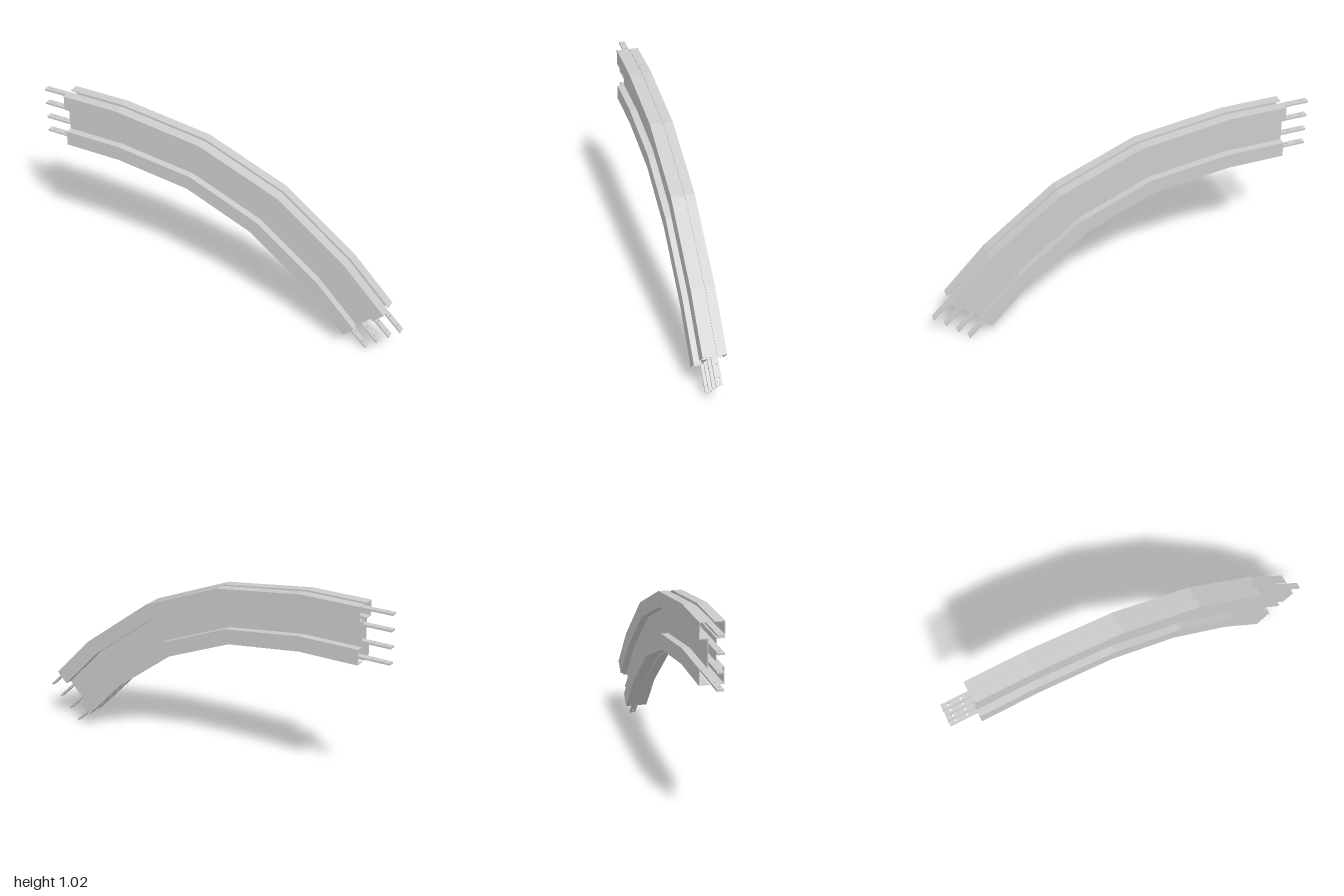
import * as THREE from 'three';

const WIDTH = 0.287;   // distance from outer to inner edge of the bend
const OUTER = [[-0.855, 1.021], [-0.55, 1.021], [-0.09, 0.96], [0.33, 0.79], [0.70, 0.51], [0.917, 0.284]];
const INNER = [[-0.855, 0.734], [-0.55, 0.734], [-0.16, 0.685], [0.19, 0.54], [0.50, 0.305], [0.716, 0.08]];

// Point at bend station i, depth z and distance v below the outer edge
function station(i, z, v) {
  const t = v / WIDTH;
  return new THREE.Vector3(
    THREE.MathUtils.lerp(OUTER[i][0], INNER[i][0], t),
    THREE.MathUtils.lerp(OUTER[i][1], INNER[i][1], t), z);
}

// Sweep a closed (z, v) profile through all bend stations, with end caps
function sweep(profile) {
  const p = profile.map(([z, v]) => new THREE.Vector2(z, v));
  if (THREE.ShapeUtils.isClockWise(p)) p.reverse();
  const n = p.length, last = OUTER.length - 1, pos = [];
  const add = (i, j) => pos.push(...station(i, p[j % n].x, p[j % n].y).toArray());
  for (let i = 0; i < last; i++) {
    for (let j = 0; j < n; j++) {
      add(i, j); add(i, j + 1); add(i + 1, j + 1);
      add(i, j); add(i + 1, j + 1); add(i + 1, j);
    }
  }
  for (const [a, b, c] of THREE.ShapeUtils.triangulateShape(p, [])) {
    add(last, a); add(last, b); add(last, c);
    add(0, a); add(0, c); add(0, b);
  }
  const g = new THREE.BufferGeometry();
  g.setAttribute('position', new THREE.Float32BufferAttribute(pos, 3));
  g.computeVertexNormals();
  return g;
}

// Flat connector tab along +x with two bolt holes near its tip
function tabGeometry(length, halfWidth, thickness) {
  const s = new THREE.Shape();
  s.moveTo(0, -halfWidth);
  s.lineTo(length, -halfWidth);
  s.lineTo(length, halfWidth);
  s.lineTo(0, halfWidth);
  s.closePath();
  for (const d of [0.033, 0.095]) {
    const hole = new THREE.Path();
    hole.absarc(length - d, 0, 0.006, 0, Math.PI * 2, true);
    s.holes.push(hole);
  }
  const g = new THREE.ExtrudeGeometry(s, { depth: thickness, bevelEnabled: false, curveSegments: 8 });
  g.translate(0, 0, -thickness / 2);
  return g;
}

export function createModel() {
  const model = new THREE.Group();
  const material = new THREE.MeshStandardMaterial({ color: 0xcccccc, flatShading: true, side: THREE.DoubleSide });
  const part = (geometry, name) => {
    const m = new THREE.Mesh(geometry, material);
    m.name = name;
    model.add(m);
    return m;
  };

  // Folded sheet housing: lip, flange, step, recessed web, mirrored below
  const face = 0.058, web = 0.021, lip = 0.01, s = 0.004, step = 0.078;
  const half = [[lip, 0], [face, 0], [face, step], [web, step]];
  const inside = [[web - s, step - s], [face - s, step - s], [face - s, s], [lip, s]];
  const flip = (list) => list.map(([z, v]) => [z, WIDTH - v]).reverse();
  const sheet = [...half, ...flip(half), ...flip(inside), ...inside];
  part(sweep(sheet), 'frontHousing');
  part(sweep(sheet.map(([z, v]) => [-z, v])), 'backHousing');

  // Four conductor bars with drilled tabs at both ends
  const barHalf = 0.016, thick = 0.01;
  const last = OUTER.length - 1;
  const endDir = new THREE.Vector3(OUTER[last][1] - INNER[last][1], INNER[last][0] - OUTER[last][0], 0).normalize();
  const ends = [
    { i: 0, dir: new THREE.Vector3(-1, 0, 0), length: 0.142, name: 'leftEndTab' },
    { i: last, dir: endDir, length: 0.132, name: 'rightEndTab' },
  ];
  ends[0].name = 'upperEndTab';
  ends[1].name = 'lowerEndTab';
  const across = new THREE.Vector3(0, 0, 1);
  [0.022, 0.102, 0.185, 0.265].forEach((v, k) => {
    const a = v - thick / 2, b = v + thick / 2;
    part(sweep([[-barHalf, a], [barHalf, a], [barHalf, b], [-barHalf, b]]), `conductorBar${k + 1}`);
    for (const { i, dir, length, name } of ends) {
      const tab = part(tabGeometry(length, barHalf, thick), `${name}${k + 1}`);
      const basis = new THREE.Matrix4().makeBasis(dir, across, dir.clone().cross(across));
      tab.quaternion.setFromRotationMatrix(basis);
      tab.position.copy(station(i, 0, v));
    }
  });
  return model;
}
